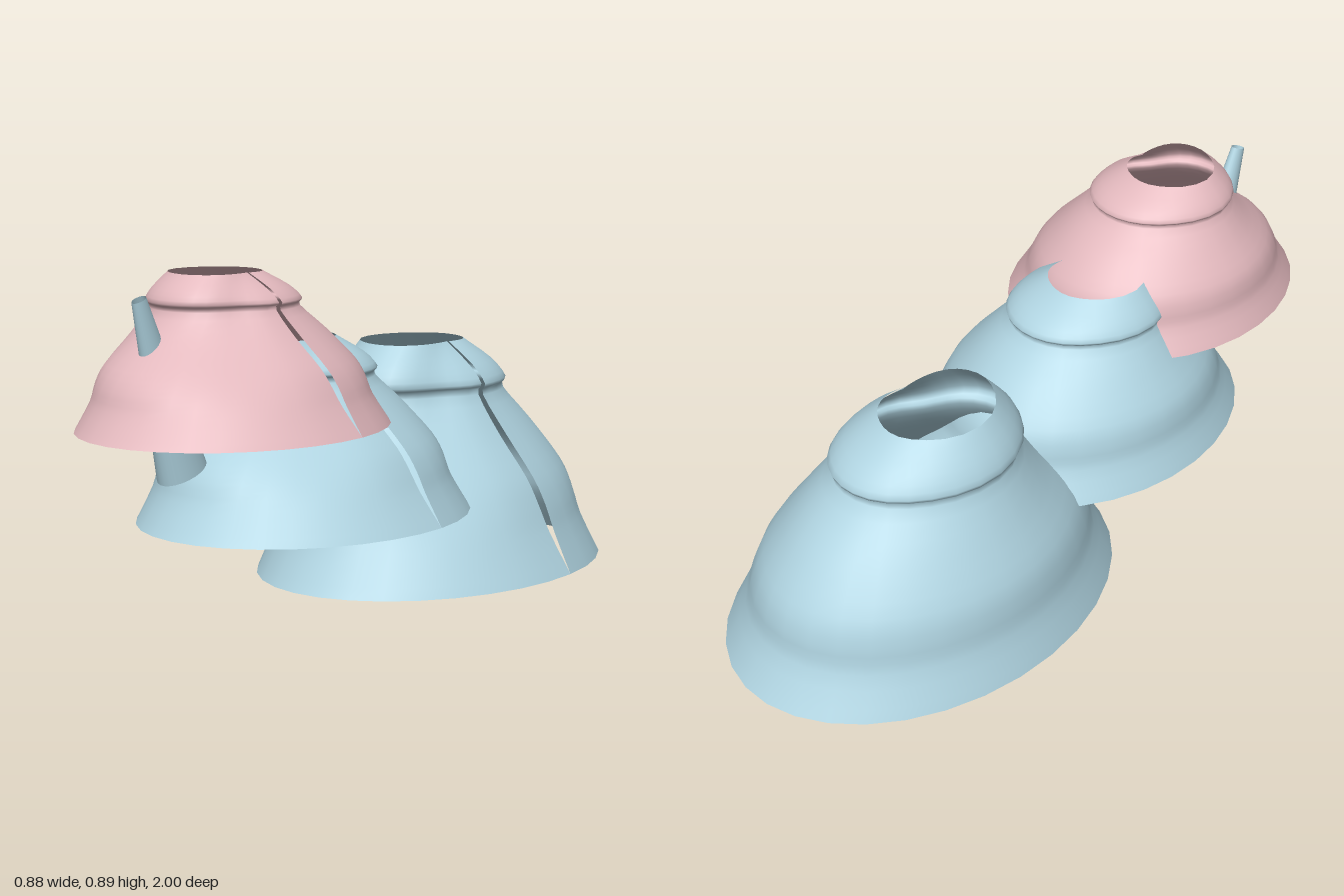
import * as THREE from 'three';

// Relative height, then radius at right, back, left, front, front-right dent, seam end
const LEVELS = [
  [0.00, 1.00, 1.00, 1.00, 1.00, 1.00, 1.00],
  [0.18, 0.885, 0.893, 0.92, 0.88, 0.86, 0.85],
  [0.30, 0.82, 0.87, 0.90, 0.82, 0.75, 0.77],
  [0.42, 0.73, 0.82, 0.86, 0.72, 0.62, 0.68],
  [0.60, 0.54, 0.67, 0.725, 0.50, 0.42, 0.49],
  [0.77, 0.373, 0.475, 0.605, 0.36, 0.27, 0.34],
  [0.82, 0.386, 0.49, 0.624, 0.40, 0.30, 0.36],
  [0.90, 0.30, 0.41, 0.573, 0.36, 0.25, 0.275],
  [1.00, 0.124, 0.24, 0.47, 0.26, 0.15, 0.11],
];
const SEGMENTS = 32;
const STEPS = 3;

// Catmull-Rom interpolation through evenly spaced values
function spline(v, u) {
  const n = v.length - 1;
  const i = Math.min(Math.floor(u * n), n - 1);
  const t = u * n - i;
  const p0 = v[Math.max(i - 1, 0)], p1 = v[i], p2 = v[i + 1], p3 = v[Math.min(i + 2, n)];
  const a = (p2 - p0) / 2, b = (p3 - p1) / 2;
  return p1 + t * (a + t * (3 * (p2 - p1) - 2 * a - b + t * (2 * (p1 - p2) + a + b)));
}

// Open, dented bowl whose two ends do not quite meet along the right-hand seam
function shellGeometry(rx, height, rz) {
  const position = [], index = [];
  const rows = (LEVELS.length - 1) * STEPS;
  for (let i = 0; i <= rows; i++) {
    const u = i / rows;
    const [h, R, B, L, F, D, E] = LEVELS[0].map((_, k) => spline(LEVELS.map((l) => l[k]), u));
    const ring = [R, (R + B) / 2, B, (B + L) / 2, L, (L + F) / 2, F, D, E];
    for (let j = 0; j <= SEGMENTS; j++) {
      const a = (j / SEGMENTS) * Math.PI * 2;
      const r = spline(ring, j / SEGMENTS);
      position.push(rx * r * Math.cos(a), height * h, -rz * r * Math.sin(a));
      if (i < rows && j < SEGMENTS) {
        const p = i * (SEGMENTS + 1) + j, q = p + SEGMENTS + 1;
        index.push(p, p + 1, q + 1, p, q + 1, q);
      }
    }
  }
  const geometry = new THREE.BufferGeometry();
  geometry.setAttribute('position', new THREE.Float32BufferAttribute(position, 3));
  geometry.setIndex(index);
  geometry.computeVertexNormals();
  return geometry;
}

export function createModel() {
  const group = new THREE.Group();
  const material = (name, color) => {
    const m = new THREE.MeshStandardMaterial({ color, side: THREE.DoubleSide });
    m.name = name;
    return m;
  };
  const blue = material('pale blue', 0xb0d4e1);
  const pink = material('pale pink', 0xe3b9be);

  // Three overlapping shells, stepping up towards the front
  const shells = [
    ['rearShell', blue, [0.44, 0.62, 0.6], [0, 0, -0.4]],
    ['middleShell', blue, [0.405, 0.46, 0.5], [-0.01, 0.235, 0.25]],
    ['frontShell', pink, [0.37, 0.382, 0.437], [-0.02, 0.505, 0.563]],
  ];
  for (const [name, mat, size, at] of shells) {
    const mesh = new THREE.Mesh(shellGeometry(...size), mat);
    mesh.name = name;
    mesh.position.set(...at);
    group.add(mesh);
  }

  // Tapered open tube leaning forward through the front shell
  const from = new THREE.Vector3(-0.098, 0.4, 0.68);
  const to = new THREE.Vector3(-0.107, 0.837, 0.837);
  const tube = new THREE.CylinderGeometry(0.016, 0.055, from.distanceTo(to), 24, 4, true);
  tube.scale(1, 1, 1.4);
  const horn = new THREE.Mesh(tube, blue);
  horn.name = 'horn';
  horn.position.copy(from).add(to).multiplyScalar(0.5);
  horn.quaternion.setFromUnitVectors(new THREE.Vector3(0, 1, 0), to.clone().sub(from).normalize());
  group.add(horn);

  return group;
}
